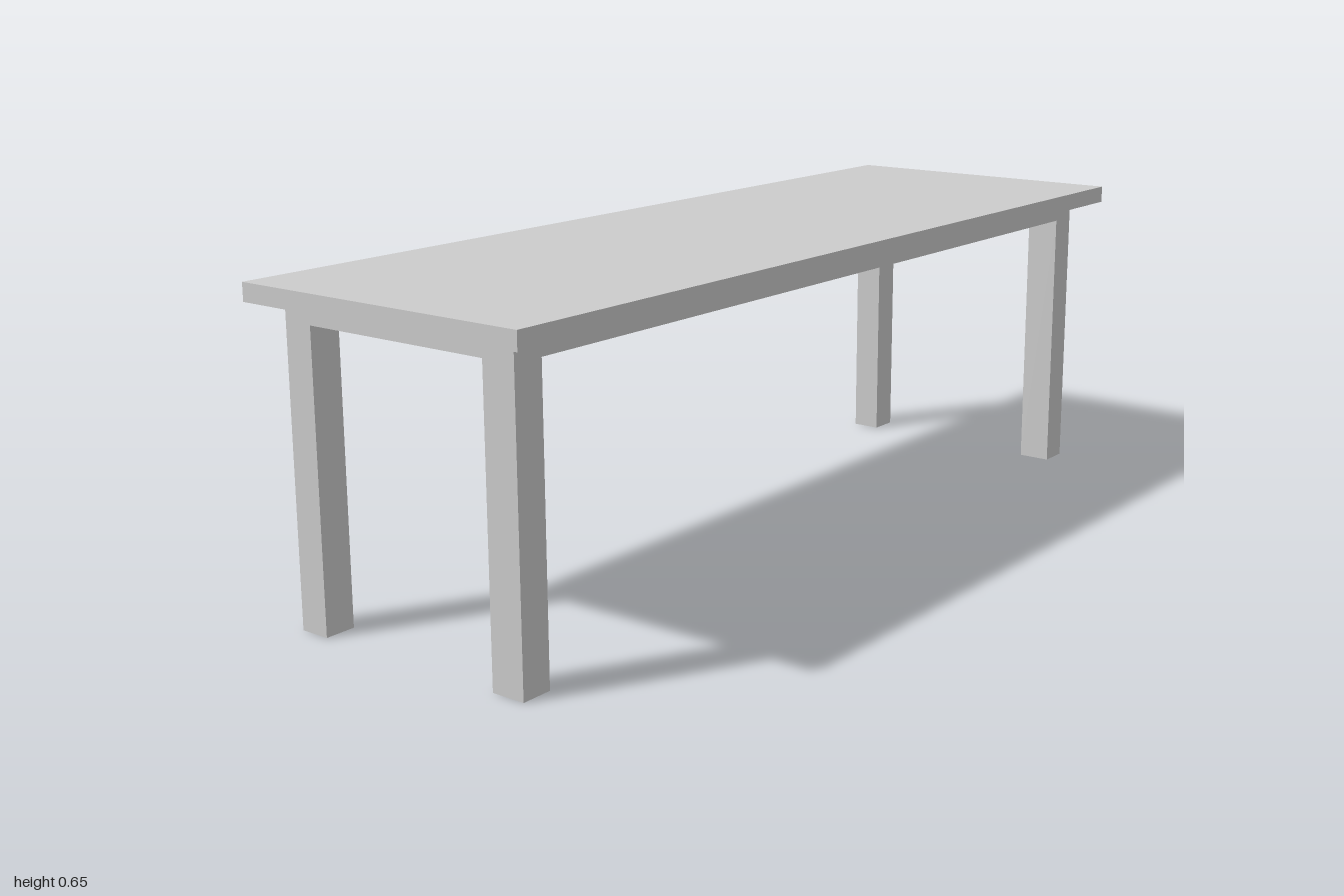
import * as THREE from 'three';

export function createModel() {
  const table = new THREE.Group();
  table.name = 'table';
  const material = new THREE.MeshStandardMaterial({ color: 0xcccccc, flatShading: true });

  const TOP_Y = 0.654, TOP_BASE = 0.618, APRON_BASE = 0.582;
  const LEG_X = [[-0.95, -0.885], [0.884, 0.949]];
  const LEG_Z = [[-0.279, -0.215], [0.203, 0.274]];

  // Box given by its extents along each axis
  function addBox(name, [x0, x1], [y0, y1], [z0, z1]) {
    const mesh = new THREE.Mesh(new THREE.BoxGeometry(x1 - x0, y1 - y0, z1 - z0), material);
    mesh.position.set((x0 + x1) / 2, (y0 + y1) / 2, (z0 + z1) / 2);
    mesh.name = name;
    table.add(mesh);
  }

  // Corner points of a rectangle in the x/z plane
  const rectangle = (x0, x1, z0, z1) =>
    [[x0, z0], [x1, z0], [x1, z1], [x0, z1]].map(([x, z]) => new THREE.Vector2(x, -z));

  // Tabletop
  addBox('tabletop', [-1, 1], [TOP_BASE, TOP_Y], [-0.33, 0.33]);

  // Apron frame, flush with the legs inside and out
  const frame = new THREE.Shape(rectangle(LEG_X[0][0], LEG_X[1][1], LEG_Z[0][0], LEG_Z[1][1]));
  frame.holes.push(new THREE.Path(rectangle(LEG_X[0][1], LEG_X[1][0], LEG_Z[0][1], LEG_Z[1][0])));
  const apronGeometry = new THREE.ExtrudeGeometry(frame, { depth: TOP_BASE - APRON_BASE, bevelEnabled: false });
  apronGeometry.rotateX(-Math.PI / 2);
  const apron = new THREE.Mesh(apronGeometry, material);
  apron.position.y = APRON_BASE;
  apron.name = 'apron';
  table.add(apron);

  // Four legs
  LEG_X.forEach((x, i) => LEG_Z.forEach((z, j) =>
    addBox((j ? 'front' : 'back') + (i ? 'Left' : 'Right') + 'Leg', x, [0, APRON_BASE], z)));

  return table;
}
